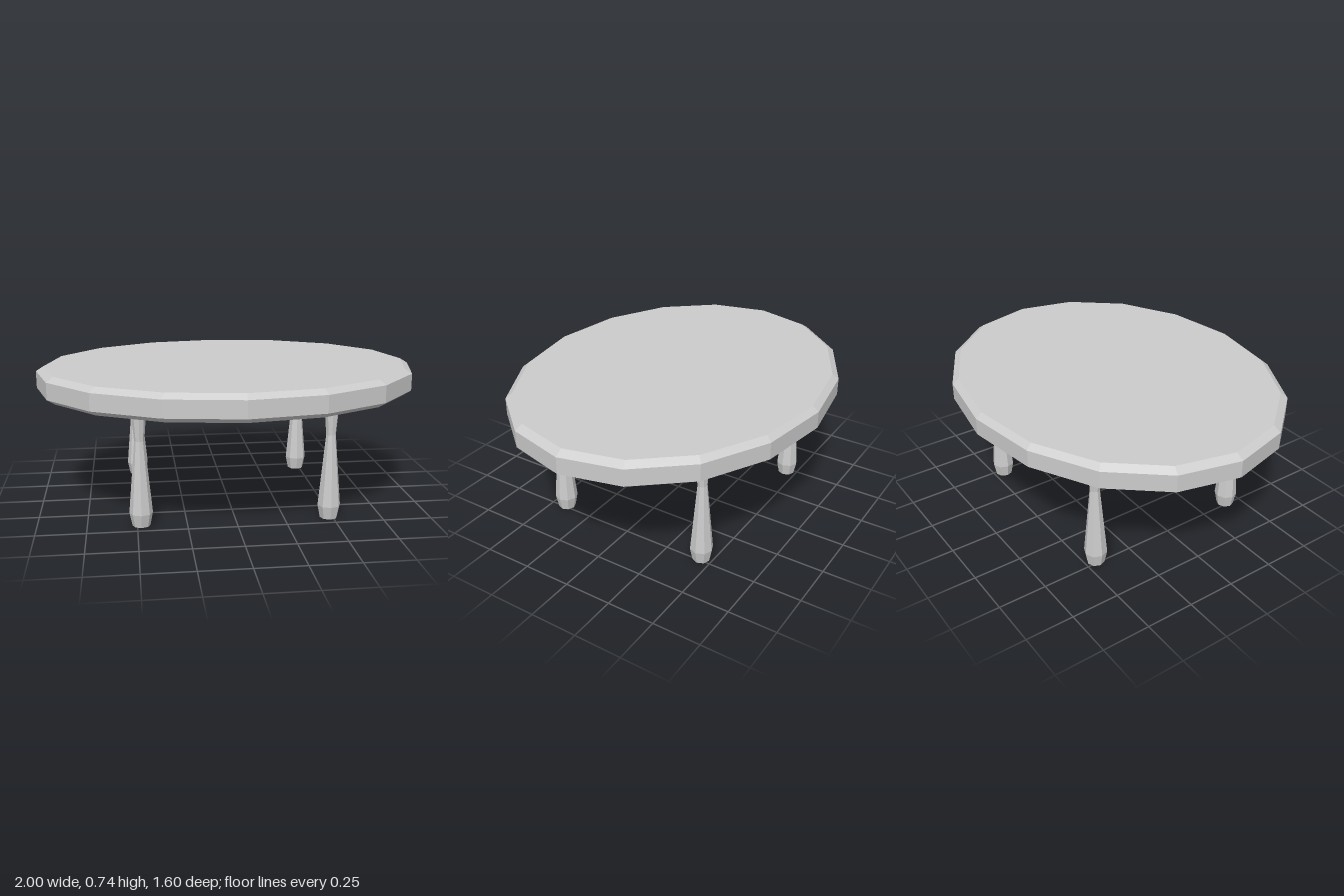
import * as THREE from 'three';

const material = new THREE.MeshStandardMaterial({ color: 0xcccccc, flatShading: true });

// Closed turned solid from [radius, height] pairs, listed bottom to top
function turned(profile, sides) {
  return new THREE.LatheGeometry(profile.map(([r, y]) => new THREE.Vector2(r, y)), sides);
}

export function createModel() {
  const table = new THREE.Group();
  table.name = 'table';

  // Oval top with chamfered upper and lower rims
  const topGeometry = turned([
    [0, 0.605], [0.96, 0.605], [1, 0.63], [1, 0.718], [0.96, 0.743], [0, 0.743],
  ], 16);
  topGeometry.scale(1, 1, 0.8);
  const top = new THREE.Mesh(topGeometry, material);
  top.name = 'tableTop';
  table.add(top);

  // Four turned legs, narrow-waisted with a tapered foot
  const legGeometry = turned([
    [0, 0], [0.045, 0], [0.059, 0.068], [0.025, 0.44], [0.039, 0.605], [0, 0.605],
  ], 8);
  for (const [zName, z] of [['front', 0.417], ['back', -0.442]]) {
    for (const [xName, x] of [['Left', 0.48], ['Right', -0.48]]) {
      const leg = new THREE.Mesh(legGeometry, material);
      leg.name = `${zName}${xName}Leg`;
      leg.position.set(x, 0, z);
      table.add(leg);
    }
  }
  return table;
}
